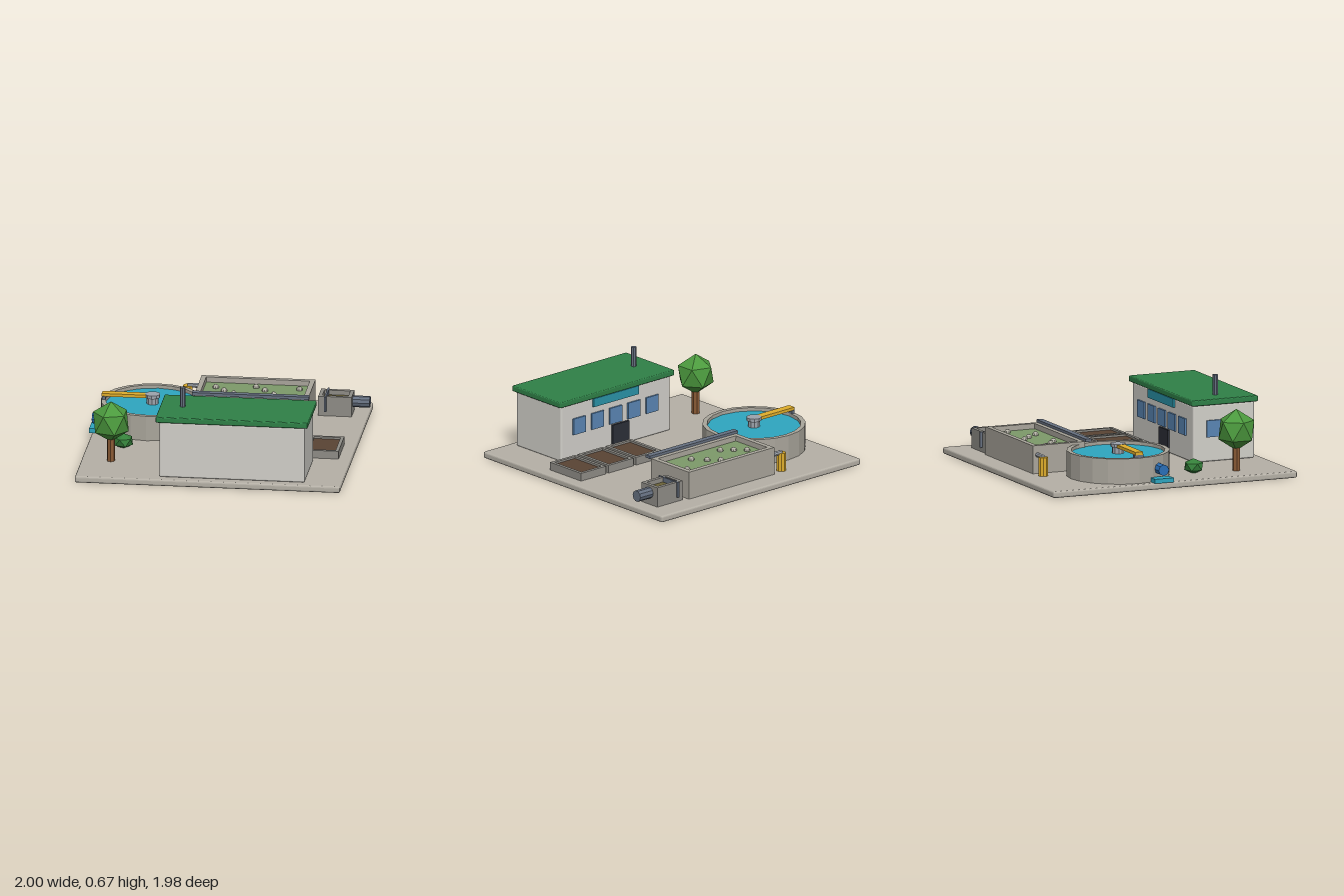
import * as THREE from 'three';
import { RoundedBoxGeometry } from 'three/addons/geometries/RoundedBoxGeometry.js';

const mat = (color) => new THREE.MeshStandardMaterial({ color, flatShading: true });
const M = {
  ground: mat(0xb5b0a6), concrete: mat(0xaaa69c), plaster: mat(0xd2d0ca), roof: mat(0x2f8047),
  water: mat(0x2ea6c0), sludge: mat(0x7d9a6a), sewage: mat(0x6b6238), soil: mat(0x5a4434),
  steel: mat(0x667080), paleSteel: mat(0x9ea4ad), dark: mat(0x2c2f38), yellow: mat(0xe0ae2c),
  blue: mat(0x2a6fb8), glass: mat(0x5a86b4), panel: mat(0x2a93a8), bubble: mat(0xb4b2a6),
  leaf: mat(0x4c9a3e), bushLeaf: mat(0x35803a), bark: mat(0x8a5a35), greyBox: mat(0x8f8d87),
};

export function createModel() {
  const model = new THREE.Group();
  model.name = 'waterTreatmentPlant';

  const add = (name, geometry, material, x, y, z) => {
    const mesh = new THREE.Mesh(geometry, material);
    mesh.name = name;
    mesh.position.set(x, y, z);
    model.add(mesh);
    return mesh;
  };
  // Box given by its extents on each axis
  const box = (name, material, [x0, x1], [y0, y1], [z0, z1], round = 0) => {
    const s = [x1 - x0, y1 - y0, z1 - z0];
    const g = round ? new RoundedBoxGeometry(...s, 2, round) : new THREE.BoxGeometry(...s);
    return add(name, g, material, (x0 + x1) / 2, (y0 + y1) / 2, (z0 + z1) / 2);
  };
  // Upright cylinder
  const post = (name, material, r, [y0, y1], x, z, sides = 8) =>
    add(name, new THREE.CylinderGeometry(r, r, y1 - y0, sides), material, x, (y0 + y1) / 2, z);
  // Cylinder lying along x
  const pipe = (name, material, r, [x0, x1], y, z, sides = 8) => {
    const p = add(name, new THREE.CylinderGeometry(r, r, x1 - x0, sides), material, (x0 + x1) / 2, y, z);
    p.rotation.z = Math.PI / 2;
    return p;
  };
  // Open rectangular basin with a filling
  const basin = (name, material, fill, [x0, x1], top, [z0, z1], wall, level) => {
    const w = (x1 - x0) / 2, d = (z1 - z0) / 2;
    const rect = (T, a, b) => new T([[-a, -b], [a, -b], [a, b], [-a, b]].map((p) => new THREE.Vector2(...p)));
    const shape = rect(THREE.Shape, w, d);
    shape.holes.push(rect(THREE.Path, w - wall, d - wall));
    const g = new THREE.ExtrudeGeometry(shape, { depth: top - 0.05, bevelEnabled: false });
    g.rotateX(-Math.PI / 2);
    add(name + 'Walls', g, material, (x0 + x1) / 2, 0.05, (z0 + z1) / 2);
    box(name + 'Filling', fill, [x0 + wall, x1 - wall], [0.05, level], [z0 + wall, z1 - wall]);
  };

  // Ground slab
  box('groundSlab', M.ground, [-0.98, 0.99], [0, 0.05], [-0.99, 0.985], 0.014);

  // Control building
  box('buildingWalls', M.plaster, [-0.36, 0.72], [0.05, 0.475], [0.425, 0.92], 0.012);
  box('roof', M.roof, [-0.385, 0.745], [0.475, 0.52], [0.405, 0.94], 0.01);
  post('chimney', M.steel, 0.02, [0.5, 0.67], -0.217, 0.668);
  for (let i = 0; i < 5; i++) {
    const x = -0.175 + i * 0.18;
    box('backWindow', M.glass, [x - 0.06, x + 0.06], [0.235, 0.36], [0.412, 0.43]);
  }
  for (const z of [0.59, 0.735])
    box('sideWindow', M.glass, [-0.375, -0.35], [0.235, 0.36], [z - 0.06, z + 0.06]);
  box('door', M.dark, [0.06, 0.22], [0.05, 0.225], [0.408, 0.43]);
  box('fasciaPanel', M.panel, [-0.035, 0.41], [0.41, 0.475], [0.407, 0.43]);

  // Round clarifier tank
  const cx = -0.56, cz = -0.277;
  const profile = [[0.382, 0.05], [0.382, 0.24], [0.347, 0.24], [0.347, 0.1]];
  add('clarifierWall', new THREE.LatheGeometry(profile.map((p) => new THREE.Vector2(...p)), 20), M.concrete, cx, 0, cz);
  post('clarifierWater', M.water, 0.347, [0.05, 0.215], cx, cz, 16);
  post('clarifierHub', M.paleSteel, 0.045, [0.2, 0.263], cx, cz, 10);
  post('clarifierHubCap', M.paleSteel, 0.057, [0.263, 0.288], cx, cz, 10);
  box('scraperArm', M.yellow, [-0.935, cx], [0.262, 0.285], [cz - 0.031, cz + 0.031]);
  box('scraperWheel', M.steel, [-0.93, -0.905], [0.238, 0.264], [cz - 0.037, cz + 0.037]);

  // Clean water outlet and its pool
  pipe('outletPipe', M.blue, 0.042, [-0.985, -0.89], 0.142, -0.1);
  box('outletPool', M.water, [-1, -0.91], [0.05, 0.083], [-0.178, -0.025]);

  // Aeration tank with bubbles and overflow trough
  basin('aerationTank', M.concrete, M.sludge, [-0.265, 0.58], 0.26, [-0.832, -0.41], 0.038, 0.22);
  const bubbles = [[-0.14, -0.67], [-0.07, -0.6], [0.01, -0.54], [0.155, -0.71], [0.228, -0.64], [0.305, -0.55], [0.478, -0.697]];
  for (const [x, z] of bubbles)
    add('bubble', new THREE.SphereGeometry(0.024, 8, 6), M.bubble, x, 0.225, z);
  box('overflowTrough', M.steel, [-0.28, 0.59], [0.258, 0.28], [-0.412, -0.365]);

  // Dosing cylinder feeding the aeration tank
  post('dosingCylinder', M.yellow, 0.036, [0.05, 0.19], -0.364, -0.795, 10);
  pipe('dosingPipe', M.paleSteel, 0.018, [-0.366, -0.255], 0.19, -0.795);

  // Inlet chamber with screen and incoming pipe
  basin('inletChamber', M.greyBox, M.sewage, [0.625, 0.873], 0.2, [-0.81, -0.632], 0.028, 0.165);
  box('inletScreen', M.steel, [0.672, 0.685], [0.085, 0.203], [-0.83, -0.612]);
  pipe('inletPipe', M.steel, 0.043, [0.865, 1], 0.142, -0.722, 10);

  // Sludge drying beds
  for (let i = 0; i < 3; i++) {
    const x = 0.107 + i * 0.273;
    basin('dryingBed', M.greyBox, M.soil, [x, x + 0.247], 0.11, [0.003, 0.345], 0.025, 0.095);
  }

  // Tree and bush, with a corner of the foliage pointing up
  const foliage = (name, material, r, squash, x, y, z) => {
    const g = new THREE.IcosahedronGeometry(r, 0);
    g.rotateZ(Math.atan(2 / (1 + Math.sqrt(5))));
    g.scale(1, squash, 1);
    add(name, g, material, x, y, z);
  };
  post('treeTrunk', M.bark, 0.03, [0.05, 0.28], -0.76, 0.59, 7);
  foliage('treeCrown', M.leaf, 0.148, 1.05, -0.76, 0.355, 0.59);
  foliage('bush', M.bushLeaf, 0.078, 0.75, -0.707, 0.098, 0.268);

  return model;
}
